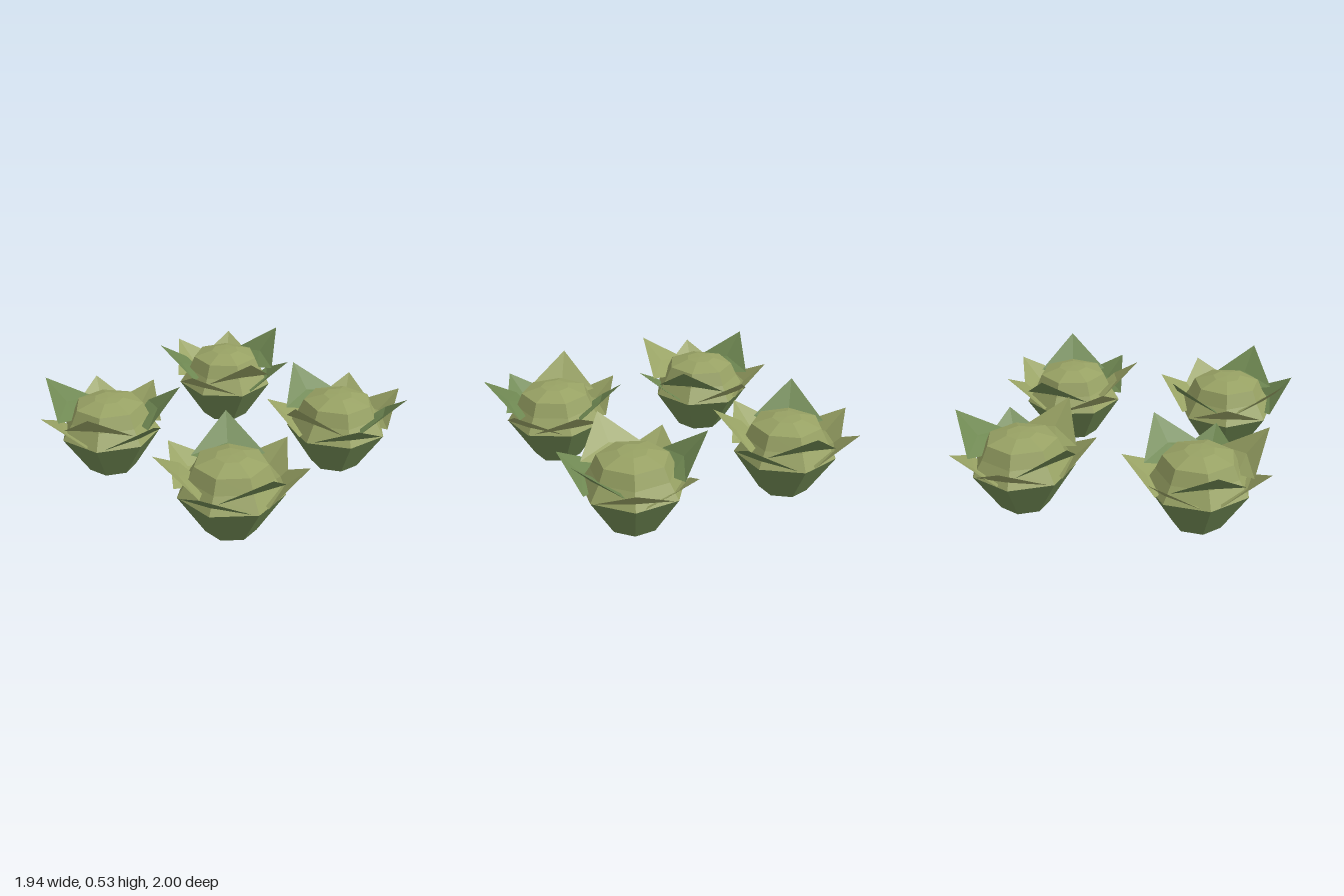
import * as THREE from 'three';

const SIDES = 7;
const STEP = (Math.PI * 2) / SIDES;

function makeMaterial(name, color) {
  const m = new THREE.MeshStandardMaterial({ color, flatShading: true, side: THREE.DoubleSide });
  m.name = name;
  return m;
}

// Seven-sided turned solid from [radius, height] pairs, bottom to top
function turned(points) {
  return new THREE.LatheGeometry(points.map(([r, y]) => new THREE.Vector2(r, y)), SIDES);
}

// Pointed leaf growing toward +z, creased along its middle
function leafGeometry(tipY, cornerY) {
  const outline = [
    [0, tipY, 0.442],
    [-0.215, cornerY, 0.24],
    [-0.1, cornerY - 0.02, 0.19],
    [0.1, cornerY - 0.02, 0.19],
    [0.215, cornerY, 0.24],
  ];
  const crease = [0, (tipY + cornerY) / 2 - 0.05, 0.3];
  const pos = [];
  outline.forEach((p, i) => pos.push(...crease, ...outline[(i + 1) % outline.length], ...p));
  const g = new THREE.BufferGeometry();
  g.setAttribute('position', new THREE.Float32BufferAttribute(pos, 3));
  g.computeVertexNormals();
  return g;
}

export function createModel() {
  const group = new THREE.Group();
  const olive = makeMaterial('olive', 0x98a264);
  const green = makeMaterial('leaf green', 0x6f8852);

  const baseGeo = turned([[0, 0], [0.15, 0], [0.312, 0.25]]);
  const headGeo = turned([[0.312, 0.25], [0.25, 0.345], [0.212, 0.43], [0.09, 0.468], [0, 0.472]]);
  const lowLeaf = leafGeometry(0.428, 0.275);
  const highLeaf = leafGeometry(0.53, 0.345);
  const greenLeaves = [1, 4, 5];

  // Centre x, centre z and turn in degrees of each plant
  const plants = [
    [-0.54, -0.48, 154.3],
    [0.507, -0.566, 186],
    [-0.474, 0.567, 90],
    [0.549, 0.436, 122.5],
  ];

  plants.forEach(([x, z, turn]) => {
    const plant = new THREE.Group();
    plant.name = 'plant';

    const base = new THREE.Mesh(baseGeo, green);
    base.name = 'base';
    const head = new THREE.Mesh(headGeo, olive);
    head.name = 'head';
    plant.add(base, head);

    // Low and high leaves take turns around the head
    for (let i = 0; i < SIDES; i++) {
      const leaf = new THREE.Mesh(i % 2 ? highLeaf : lowLeaf, greenLeaves.includes(i) ? green : olive);
      leaf.name = i % 2 ? 'highLeaf' : 'lowLeaf';
      leaf.rotation.y = i * STEP;
      plant.add(leaf);
    }

    plant.position.set(x, 0, z);
    plant.rotation.y = THREE.MathUtils.degToRad(turn);
    group.add(plant);
  });

  return group;
}
